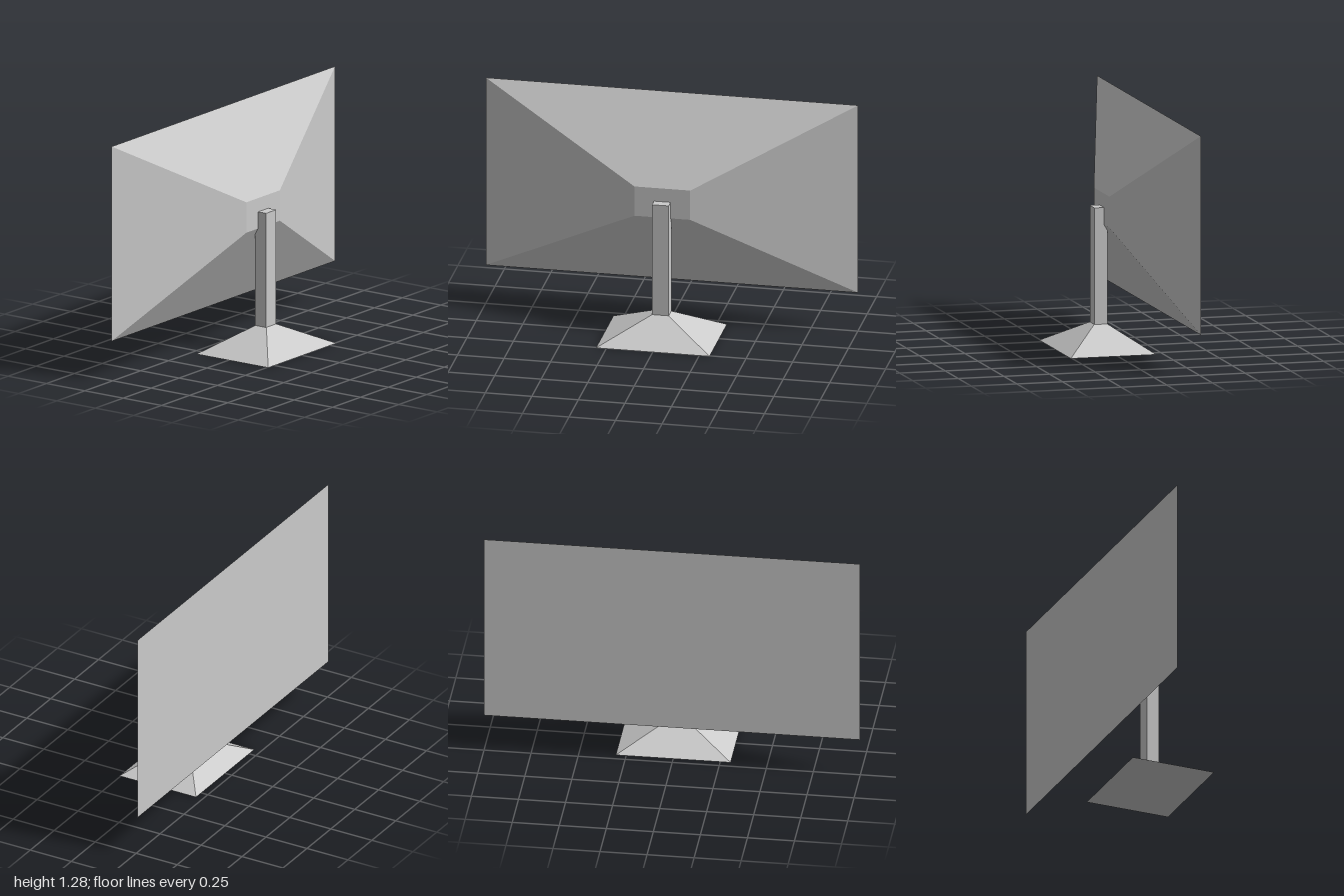
import * as THREE from 'three';

const material = new THREE.MeshStandardMaterial({ color: 0xcccccc, flatShading: true });

// Box whose corners are mapped from the unit cube by place(x, y, z), each 0 or 1
function taperedBox(name, place) {
  const geometry = new THREE.BoxGeometry(1, 1, 1);
  const pos = geometry.attributes.position;
  for (let i = 0; i < pos.count; i++) {
    pos.setXYZ(i, ...place(pos.getX(i) + 0.5, pos.getY(i) + 0.5, pos.getZ(i) + 0.5));
  }
  geometry.computeVertexNormals();
  const mesh = new THREE.Mesh(geometry, material);
  mesh.name = name;
  return mesh;
}

const mix = THREE.MathUtils.lerp;

export function createModel() {
  const group = new THREE.Group();
  group.name = 'monitor';

  // Wide flat screen at -z, housing tapering to a small mount plate at z = 0
  group.add(taperedBox('screenHousing', (x, y, z) => {
    const halfWidth = z ? 0.15 : 1;
    return [
      mix(-halfWidth, halfWidth, x),
      z ? mix(0.662, 0.828, y) : mix(0.215, 1.277, y),
      z ? 0.002 : -0.257,
    ];
  }));

  // Upright post
  group.add(taperedBox('standPost', (x, y, z) => [
    mix(-0.045, 0.045, x), mix(0.13, 0.753, y), mix(-0.017, 0.054, z),
  ]));

  // Pyramid foot, narrowing to the post
  group.add(taperedBox('standBase', (x, y, z) => {
    const halfWidth = y ? 0.045 : 0.305;
    return [
      mix(-halfWidth, halfWidth, x),
      y ? 0.13 : 0,
      y ? mix(-0.017, 0.056, z) : mix(-0.21, 0.257, z),
    ];
  }));

  return group;
}
